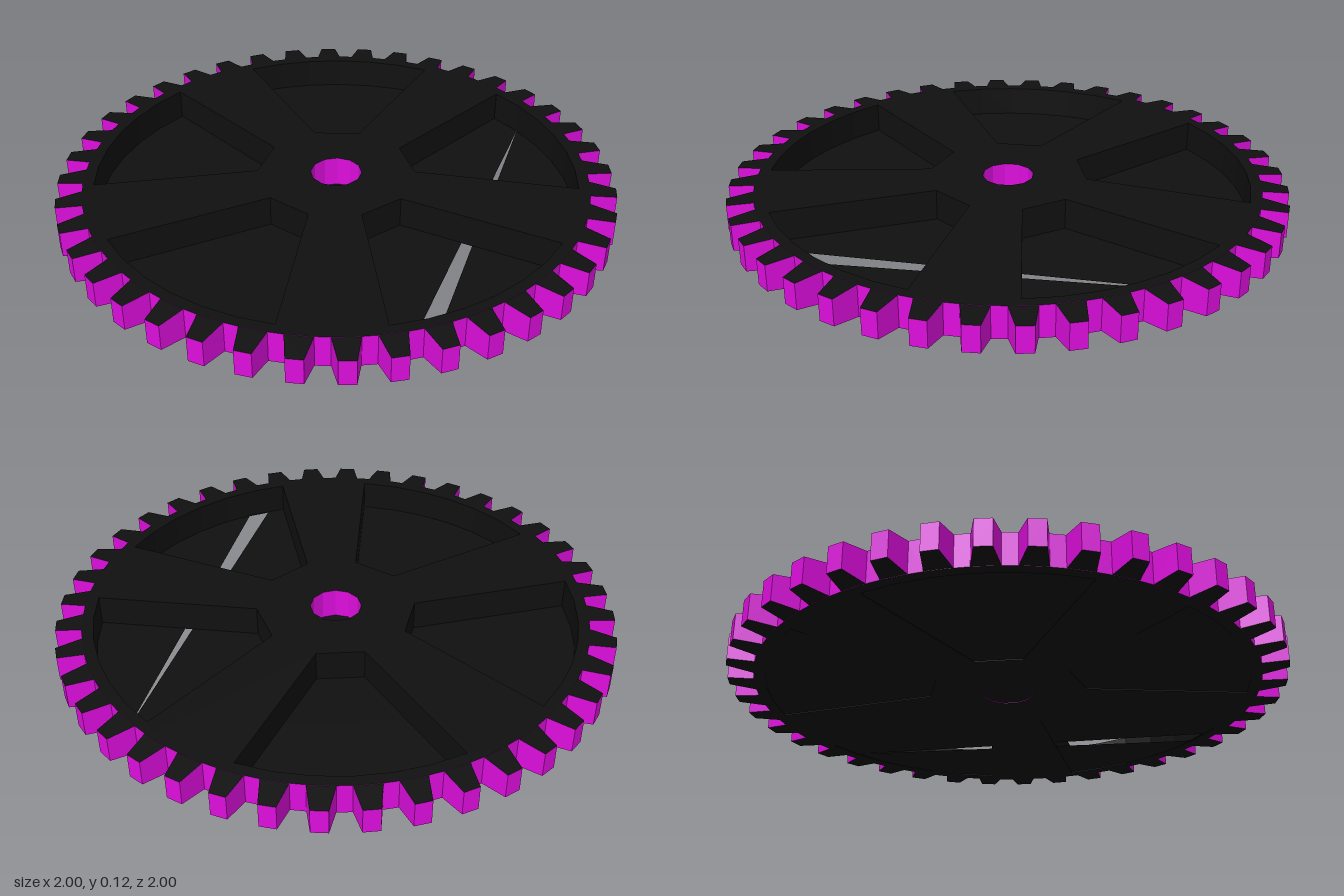
import * as THREE from 'three';

const H = 0.115;            // gear thickness
const TEETH = 40, SPOKES = 5;
const ROOT = 0.905, RIM = 0.865;
const DEG = Math.PI / 180;

const black = new THREE.MeshStandardMaterial({ color: 0x101010, flatShading: true });
const magenta = new THREE.MeshStandardMaterial({ color: 0xdd0edd, flatShading: true });
const thin = new THREE.MeshStandardMaterial({ color: 0x101010, flatShading: true, side: THREE.DoubleSide });

const polar = (r, a) => new THREE.Vector2(r * Math.cos(a), r * Math.sin(a));

const circle = (r, n) =>
  Array.from({ length: n }, (_, i) => polar(r, (i / n) * 2 * Math.PI));

// Upright slab lying on y = 0, with shape y running along +z
function slab(name, outline, holes, sideMaterial) {
  const shape = new THREE.Shape(outline);
  for (const h of holes) shape.holes.push(new THREE.Path(h));
  const geo = new THREE.ExtrudeGeometry(shape, { depth: H, bevelEnabled: false });
  geo.rotateX(Math.PI / 2).translate(0, H, 0);
  const mesh = new THREE.Mesh(geo, [black, sideMaterial]);
  mesh.name = name;
  return mesh;
}

// Pocket between spoke k and the next one; spokes widen toward the rim
function pocket(k) {
  const step = (2 * Math.PI) / SPOKES;
  const a0 = 45.5 * DEG + k * step, a1 = a0 + step;
  const inner = Math.atan2(0.092, 0.27), outer = Math.atan2(0.172, 0.848);
  const rIn = Math.hypot(0.092, 0.27);
  const pts = [polar(rIn, a0 + inner)];
  const n = 6;
  for (let i = 0; i <= n; i++)
    pts.push(polar(RIM, THREE.MathUtils.lerp(a0 + outer, a1 - outer, i / n)));
  pts.push(polar(rIn, a1 - inner));
  return pts;
}

// Tooth narrowing toward a slightly lower tip
function toothGeometry() {
  const r0 = ROOT - 0.01, r1 = 0.998;
  const geo = new THREE.BoxGeometry(r1 - r0, H, 1);
  geo.translate((r0 + r1) / 2, 0, 0);
  const p = geo.attributes.position;
  for (let i = 0; i < p.count; i++) {
    const tip = p.getX(i) > 0.95;
    p.setZ(i, p.getZ(i) * (tip ? 0.057 : 0.095));
    if (tip) p.setY(i, p.getY(i) * 0.82);
  }
  geo.translate(0, H / 2, 0);
  geo.computeVertexNormals();
  return geo;
}

export function createModel() {
  const gear = new THREE.Group();
  gear.name = 'gear';

  // Rim band, spoked wheel and bored hub
  const pockets = Array.from({ length: SPOKES }, (_, k) => pocket(k));
  gear.add(slab('rimBand', circle(ROOT, 80), [circle(0.885, 80)], magenta));
  gear.add(slab('spokedWheel', circle(0.885, 80), [...pockets, circle(0.16, 24)], black));
  gear.add(slab('hub', circle(0.16, 24), [circle(0.092, 12)], magenta));

  // Teeth
  const teeth = new THREE.Group();
  teeth.name = 'teeth';
  const geo = toothGeometry();
  for (let i = 0; i < TEETH; i++) {
    const tooth = new THREE.Mesh(geo, [magenta, magenta, black, black, magenta, magenta]);
    tooth.name = 'tooth';
    tooth.rotation.y = (2.25 + (i * 360) / TEETH) * DEG;
    teeth.add(tooth);
  }
  gear.add(teeth);

  // Thin floor closing the pockets, with its narrow wedge-shaped slit
  const floorShape = new THREE.Shape(circle(0.88, 80));
  floorShape.holes.push(new THREE.Path([
    new THREE.Vector2(0.86, -0.1),
    new THREE.Vector2(-0.17, 0.84),
    new THREE.Vector2(-0.09, 0.855),
  ]));
  const floorGeo = new THREE.ShapeGeometry(floorShape);
  floorGeo.rotateX(Math.PI / 2).translate(0, 0.002, 0);
  const floor = new THREE.Mesh(floorGeo, thin);
  floor.name = 'floor';
  gear.add(floor);

  return gear;
}
